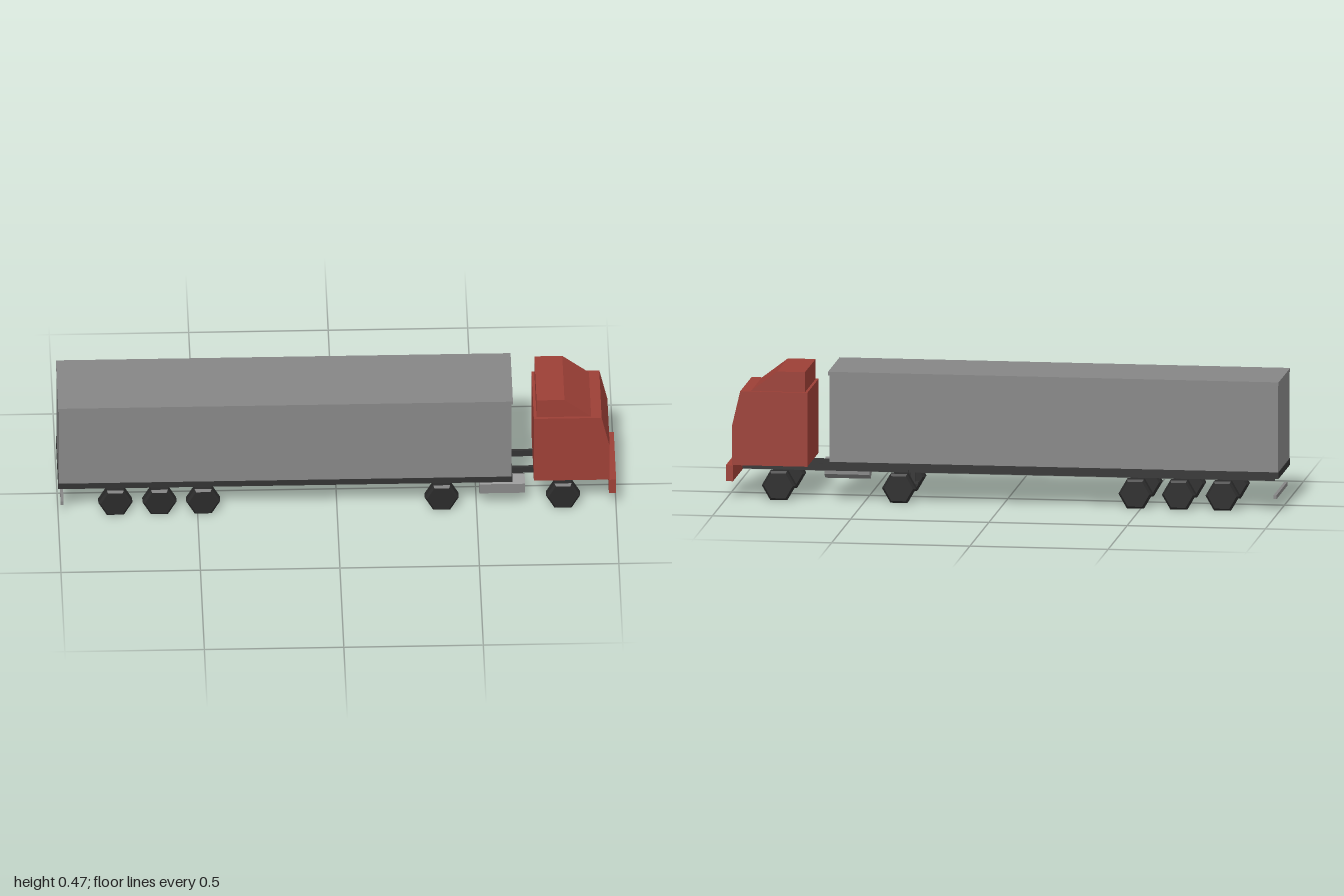
import * as THREE from 'three';

export function createModel() {
  const truck = new THREE.Group();
  truck.name = 'articulatedTruck';

  const paint = (name, color) => {
    const m = new THREE.MeshStandardMaterial({ color });
    m.name = name;
    return m;
  };
  const red = paint('cabRed', 0x9c3f36);
  const grey = paint('trailerGrey', 0x868686);
  const dark = paint('chassisDark', 0x333333);
  const black = paint('tyreBlack', 0x2a2a2a);

  const add = (name, geometry, material, parent = truck) => {
    const mesh = new THREE.Mesh(geometry, material);
    mesh.name = name;
    parent.add(mesh);
    return mesh;
  };

  // box given by its limits on each axis
  const box = (name, material, [x0, x1], [y0, y1], [z0, z1], parent) => {
    const g = new THREE.BoxGeometry(x1 - x0, y1 - y0, z1 - z0);
    g.translate((x0 + x1) / 2, (y0 + y1) / 2, (z0 + z1) / 2);
    return add(name, g, material, parent);
  };

  // side profile extruded across the width of the vehicle
  const sideProfile = (name, material, points, halfWidth, parent) => {
    const shape = new THREE.Shape(points.map(([x, y]) => new THREE.Vector2(x, y)));
    const g = new THREE.ExtrudeGeometry(shape, { depth: halfWidth * 2, bevelEnabled: false });
    g.translate(0, 0, -halfWidth);
    return add(name, g, material, parent);
  };

  const faceted = (geometry) => {
    const g = geometry.toNonIndexed();
    g.computeVertexNormals();
    return g;
  };

  // trailer
  const trailer = new THREE.Group();
  trailer.name = 'trailer';
  truck.add(trailer);
  box('cargoBody', grey, [-0.998, 0.625], [0.145, 0.462], [-0.15, 0.15], trailer);
  box('roofCap', grey, [-1, 0.63], [0.46, 0.473], [-0.153, 0.153], trailer);
  box('trailerFloor', dark, [-1, 0.628], [0.122, 0.145], [-0.151, 0.151], trailer);
  box('rearBar', grey, [-0.991, -0.98], [0.046, 0.06], [-0.14, 0.14], trailer);

  // tractor cab
  const cab = new THREE.Group();
  cab.name = 'cab';
  truck.add(cab);
  sideProfile('cabBody', red, [
    [0.705, 0.125], [0.977, 0.125], [0.977, 0.27], [0.948, 0.394], [0.705, 0.394],
  ], 0.15, cab);
  sideProfile('roofFairing', red, [
    [0.715, 0.393], [0.912, 0.393], [0.815, 0.467], [0.715, 0.467],
  ], 0.139, cab);
  box('frontBumper', red, [0.974, 1], [0.066, 0.124], [-0.15, 0.15], cab);

  // chassis rails and landing legs, mirrored
  for (const s of [-1, 1]) {
    const across = (z, half) => [s * z - half, s * z + half];
    box('trailerRail', dark, [-0.975, 0.5], [0.1, 0.124], across(0.066, 0.006), trailer);
    box('tractorRail', dark, [0.25, 0.952], [0.097, 0.121], across(0.052, 0.006));
    box('landingLeg', dark, [0.347, 0.363], [0.036, 0.124], across(0.094, 0.008), trailer);
    box('landingFoot', dark, [0.335, 0.375], [0.033, 0.038], across(0.094, 0.02), trailer);
  }

  // six-sided wheels with chamfered rims
  const wheelProfile = [
    [0, -0.0225], [0.052, -0.0225], [0.061, -0.014],
    [0.061, 0.014], [0.052, 0.0225], [0, 0.0225],
  ].map(([r, y]) => new THREE.Vector2(r, y));
  const wheel = faceted(new THREE.LatheGeometry(wheelProfile, 6, Math.PI / 6));
  wheel.rotateX(Math.PI / 2);
  for (const x of [-0.795, -0.637, -0.48, 0.375, 0.81]) {
    for (const s of [-1, 1]) {
      add('wheel', wheel, black).position.set(x, 0.053, s * 0.1275);
    }
  }

  // hexagonal fuel tank lying along the rail, on one side only
  const tank = faceted(new THREE.CylinderGeometry(0.039, 0.039, 0.163, 6, 1));
  tank.rotateY(Math.PI / 2);
  tank.rotateZ(Math.PI / 2);
  // keep a corner pointing up and down
  tank.computeBoundingBox();
  const size = tank.boundingBox.getSize(new THREE.Vector3());
  if (size.z > size.y) tank.rotateX(Math.PI / 2);
  add('fuelTank', tank, grey).position.set(0.592, 0.082, 0.1);

  return truck;
}
